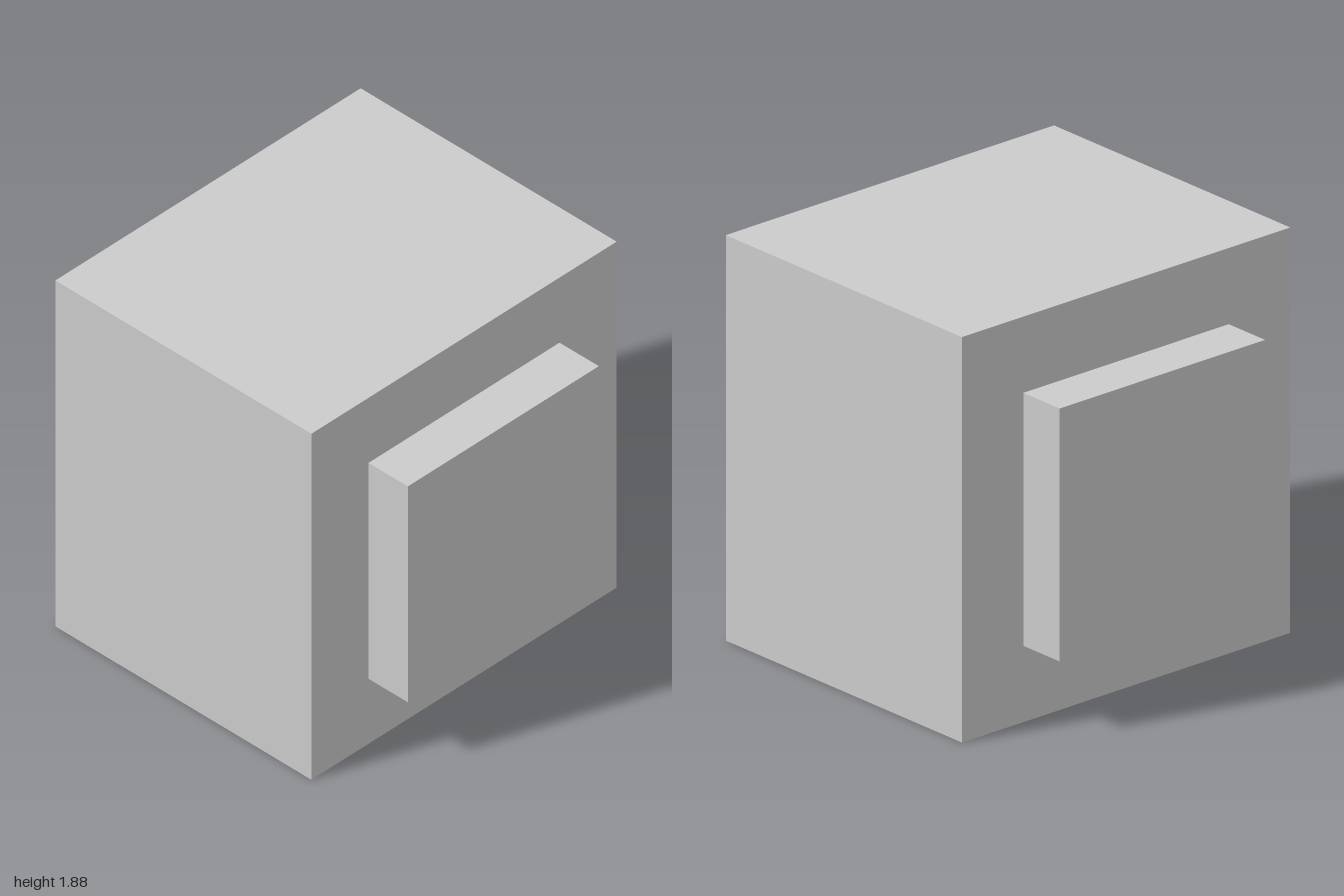
import * as THREE from 'three';

const BODY = { width: 1.87, height: 1.875, depth: 1.53 };
const PANEL_SIZE = 1.17;
const PANEL_DEPTH = 1 - BODY.depth / 2;

export function createModel() {
  const model = new THREE.Group();
  model.name = 'block';
  const material = new THREE.MeshStandardMaterial({ color: 0xcccccc, flatShading: true });

  const addBox = (name, width, height, depth, z) => {
    const mesh = new THREE.Mesh(new THREE.BoxGeometry(width, height, depth), material);
    mesh.name = name;
    mesh.position.set(0, BODY.height / 2, z);
    model.add(mesh);
  };

  // Main block
  addBox('body', BODY.width, BODY.height, BODY.depth, 0);

  // Raised square panels, mirrored front and back
  for (const [name, side] of [['frontPanel', 1], ['backPanel', -1]]) {
    addBox(name, PANEL_SIZE, PANEL_SIZE, PANEL_DEPTH, side * (BODY.depth + PANEL_DEPTH) / 2);
  }

  return model;
}
